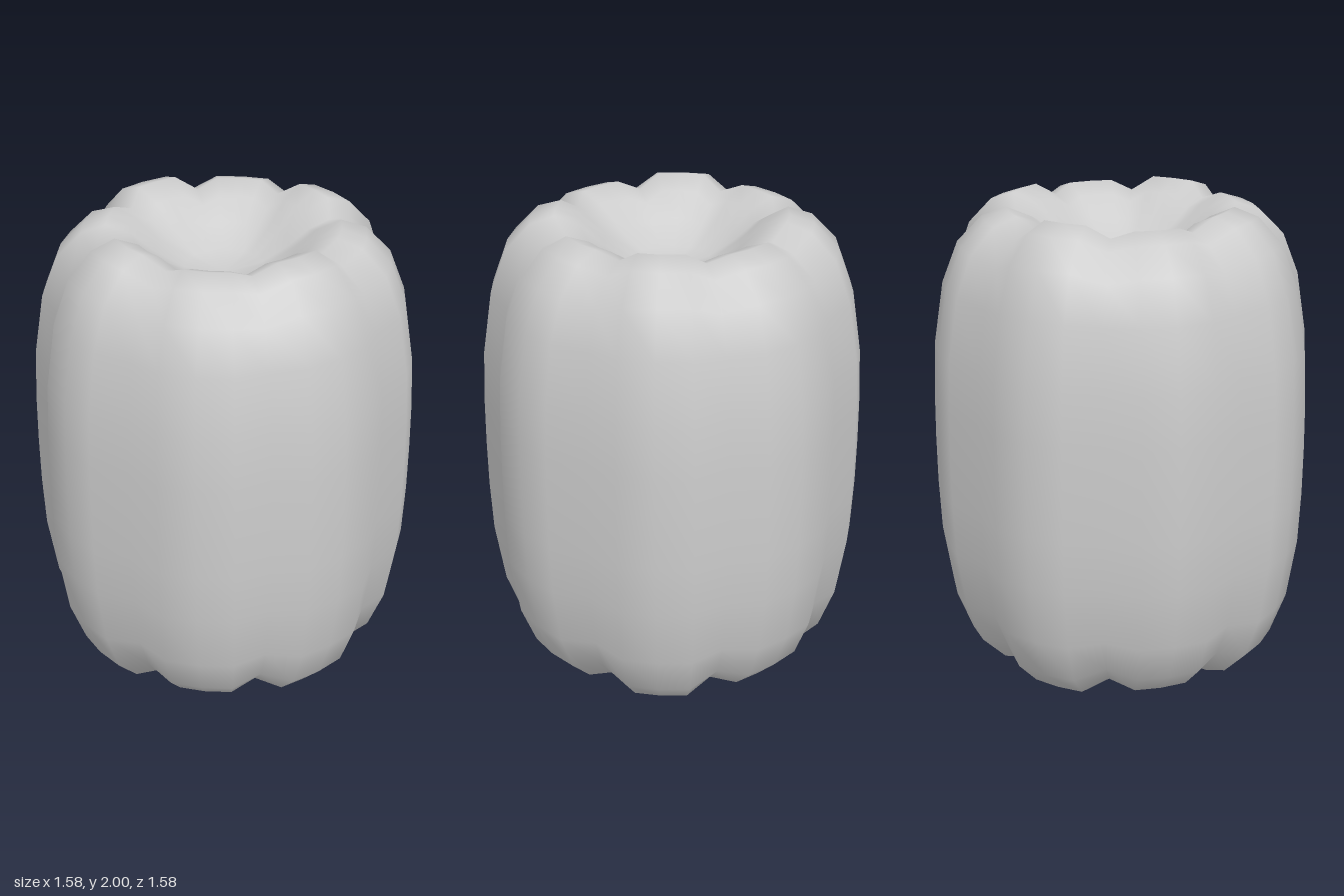
import * as THREE from 'three';
import { mergeVertices } from 'three/addons/utils/BufferGeometryUtils.js';

const SEGMENTS = 32; // eight lobes, four sides each

export function createModel() {
  const group = new THREE.Group();
  group.name = 'lobedBody';
  const grey = new THREE.MeshStandardMaterial({ color: 0xcccccc });
  grey.name = 'grey';

  // Half profile from the waist, over the rim, into the dimple: radius, height above the waist
  const half = [
    [0.79, 0], [0.788, 0.2], [0.778, 0.42], [0.738, 0.68], [0.672, 0.86],
    [0.57, 0.967], [0.47, 1], [0.37, 0.955], [0.28, 0.87], [0.16, 0.79], [0, 0.76],
  ];
  const lower = half.slice(1).reverse().map(([r, h]) => new THREE.Vector2(r, 1 - h));
  const upper = half.map(([r, h]) => new THREE.Vector2(r, 1 + h));
  let geometry = new THREE.LatheGeometry([...lower, ...upper], SEGMENTS);

  // Press narrow grooves between the lobes and lower the diagonal lobes slightly
  const p = geometry.attributes.position;
  for (let i = 0; i < p.count; i++) {
    const x = p.getX(i), y = p.getY(i), z = p.getZ(i);
    const r = Math.hypot(x, z);
    if (r < 1e-4) continue;
    const step = Math.round(Math.atan2(x, z) / (2 * Math.PI) * SEGMENTS + SEGMENTS) % 8;
    const groove = step === 2 || step === 6 ? 1 : 0;
    const diagonal = step > 2 && step < 6 ? 1 : 0;
    const rim = THREE.MathUtils.smoothstep(r, 0.15, 0.45);
    const end = THREE.MathUtils.smoothstep(Math.abs(y - 1), 0.5, 1);
    const drop = (0.055 * groove + 0.02 * diagonal) * rim * end;
    const scale = 1 - 0.065 * groove * rim;
    p.setXYZ(i, x * scale, y - Math.sign(y - 1) * drop, z * scale);
  }

  // Weld the seam so the shading runs smoothly all round
  geometry.deleteAttribute('uv');
  geometry.deleteAttribute('normal');
  geometry = mergeVertices(geometry, 1e-4);
  geometry.computeVertexNormals();

  const body = new THREE.Mesh(geometry, grey);
  body.name = 'body';
  group.add(body);
  return group;
}
